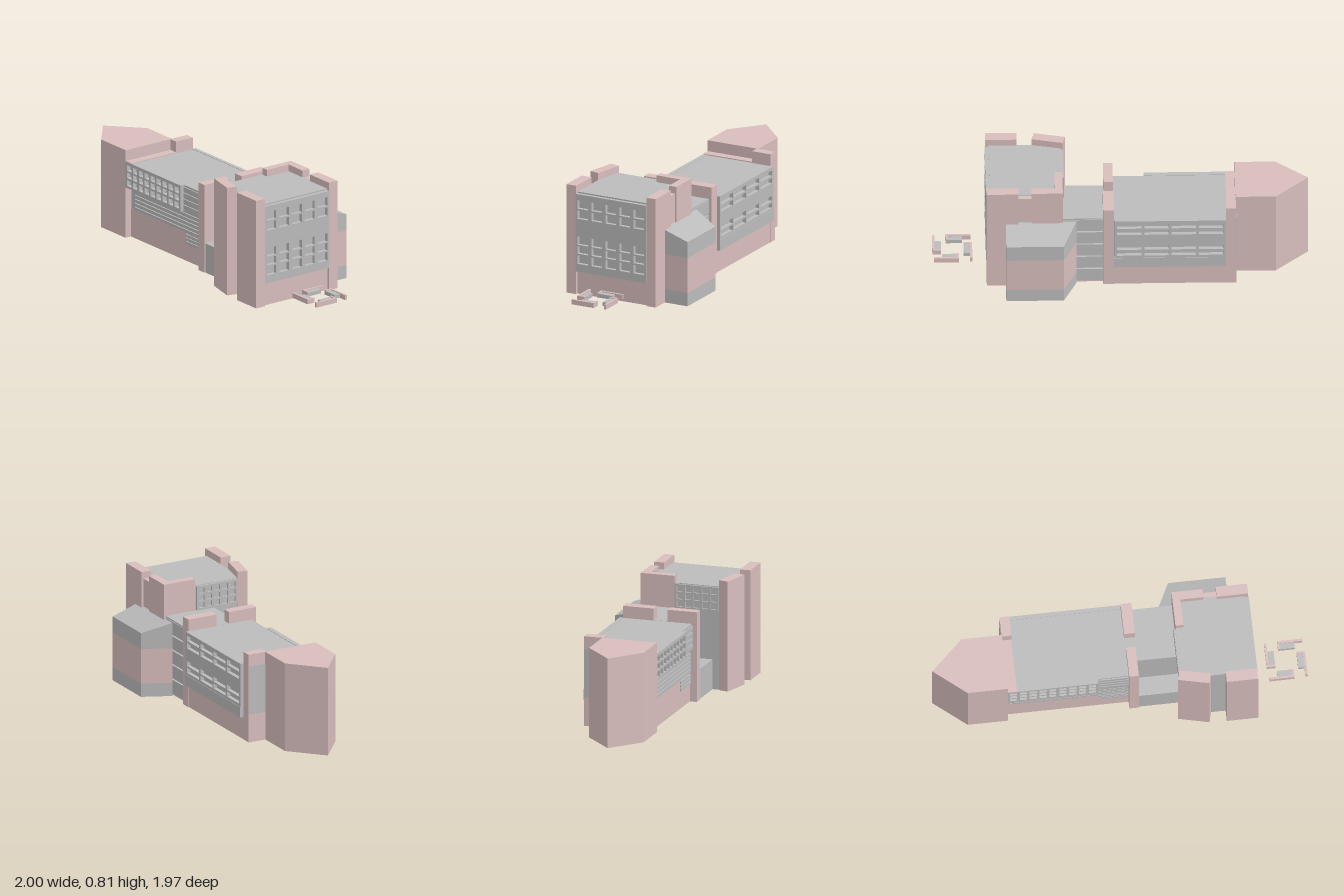
import * as THREE from 'three';

const pink = new THREE.MeshStandardMaterial({ color: 0xd8bebd });
pink.name = 'rose stone';
const grey = new THREE.MeshStandardMaterial({ color: 0xbbbbbb });
grey.name = 'grey panel';

// All parts are laid out along the building axis, which is turned 45 degrees at the end
export function createModel() {
  const model = new THREE.Group();
  model.name = 'building';
  const site = new THREE.Group();
  site.name = 'site';
  site.rotation.y = -Math.PI / 4;
  model.add(site);

  const add = (name, geo, mat, parent = site) => {
    const mesh = new THREE.Mesh(geo, mat);
    mesh.name = name;
    parent.add(mesh);
    return mesh;
  };

  // Box given by its limits
  const box = (name, mat, x0, x1, y0, y1, z0, z1, parent = site) => {
    const geo = new THREE.BoxGeometry(x1 - x0, y1 - y0, z1 - z0);
    geo.translate((x0 + x1) / 2, (y0 + y1) / 2, (z0 + z1) / 2);
    return add(name, geo, mat, parent);
  };

  // Upright prism over a plan outline of [x, z] points
  const prism = (name, mat, plan, y0, y1) => {
    const shape = new THREE.Shape(plan.map(([x, z]) => new THREE.Vector2(x, -z)));
    const geo = new THREE.ExtrudeGeometry(shape, { depth: y1 - y0, bevelEnabled: false });
    geo.rotateX(-Math.PI / 2).translate(0, y0, 0);
    return add(name, geo, mat);
  };

  // Panel with a grid of window openings, set on a wall
  const facade = (name, w, y0, y1, depth, cols, rows, margin, gap, x, z, turn) => {
    const rect = (P, a, b, c, d) => {
      const p = new P();
      p.moveTo(a, c);
      p.lineTo(b, c);
      p.lineTo(b, d);
      p.lineTo(a, d);
      p.closePath();
      return p;
    };
    const shape = rect(THREE.Shape, -w / 2, w / 2, y0, y1);
    const pitch = (w - 2 * margin + gap) / cols;
    for (const [a, b] of rows) {
      for (let i = 0; i < cols; i++) {
        const left = -w / 2 + margin + i * pitch;
        shape.holes.push(rect(THREE.Path, left, left + pitch - gap, a, b));
      }
    }
    const geo = new THREE.ExtrudeGeometry(shape, { depth, bevelEnabled: false });
    const mesh = add(name, geo, grey);
    mesh.position.set(x, 0, z);
    mesh.rotation.y = turn;
  };

  // Horizontal slats on the left-hand wall
  const slats = (name, x0, x1, y0, y1, z, count) => {
    const pitch = (y1 - y0) / count;
    for (let i = 0; i < count; i++) {
      const y = y0 + i * pitch;
      box(name, grey, x0, x1, y, y + pitch * 0.75, z, z + 0.012);
    }
  };

  // Pointed end block of the long wing
  prism('wingEndBlock', pink,
    [[-1.407, 0.007], [-1.174, -0.212], [-0.885, -0.212], [-0.885, 0.198], [-1.174, 0.198]], 0, 0.66);
  box('wingEndPier', pink, -0.887, -0.817, 0, 0.66, -0.348, -0.2);

  // Long wing
  box('wingBase', pink, -0.89, 0, 0, 0.21, -0.346, 0.15);
  box('wingMiddle', grey, -0.89, 0, 0.21, 0.38, -0.346, 0.148);
  box('wingTop', grey, -0.89, 0, 0.38, 0.572, -0.346, 0.163);
  box('wingRoofEdge', pink, -0.888, -0.82, 0.57, 0.579, -0.2, 0.197);
  box('wingSill', grey, -0.817, -0.02, 0.17, 0.25, -0.378, -0.34);
  facade('wingWindowsRight', 0.795, 0.25, 0.575, 0.029, 4,
    [[0.27, 0.308], [0.322, 0.36], [0.455, 0.495], [0.51, 0.55]], 0.02, 0.02, -0.4185, -0.346, Math.PI);
  facade('wingWindowsLeft', 0.647, 0.38, 0.575, 0.035, 9,
    [[0.396, 0.44], [0.455, 0.497], [0.51, 0.552]], 0.015, 0.018, -0.5635, 0.163, 0);
  slats('wingSlats', -0.84, -0.02, 0.215, 0.365, 0.146, 5);
  slats('wingUpperSlats', -0.235, -0.02, 0.39, 0.57, 0.16, 4);
  slats('wingLowSlats', -0.235, -0.02, 0.13, 0.21, 0.146, 3);

  // Piers between wing and link
  box('linkPierRight', pink, -0.02, 0.057, 0, 0.66, -0.352, -0.123);
  box('linkPierLeft', pink, -0.018, 0.05, 0, 0.66, -0.02, 0.202);

  // Link with stacked panels and a low side block
  box('link', pink, -0.01, 0.36, 0, 0.565, -0.315, 0.05);
  box('linkRoof', grey, -0.01, 0.36, 0.563, 0.573, -0.332, 0.057);
  box('linkLeftWall', grey, -0.01, 0.36, 0, 0.565, 0.04, 0.057);
  for (let i = 0; i < 5; i++) {
    const y = 0.025 + i * 0.109;
    box('linkPanel', grey, 0.05, 0.34, y, y + 0.098, -0.332, -0.31);
  }
  box('lowBlock', grey, 0.03, 0.345, 0, 0.22, 0.05, 0.195);

  // Tower body
  prism('towerBody', grey,
    [[0.346, 0.25], [0.56, 0.293], [0.862, 0.293], [0.862, -0.3], [0.346, -0.3]], 0, 0.76);
  box('towerFrontBase', pink, 0.855, 0.868, 0, 0.17, -0.28, 0.295);
  box('towerRightWall', pink, 0.55, 0.67, 0, 0.758, -0.335, -0.29);
  facade('towerFrontWindows', 0.57, 0.17, 0.75, 0.027, 5,
    [[0.23, 0.294], [0.306, 0.362], [0.372, 0.435], [0.567, 0.63], [0.642, 0.706]],
    0.015, 0.03, 0.862, 0.01, Math.PI / 2);
  facade('towerBackWindows', 0.33, 0.575, 0.755, 0.015, 5,
    [[0.59, 0.63], [0.645, 0.685], [0.7, 0.74]], 0.015, 0.018, 0.346, 0.08, -Math.PI / 2);

  // Tower piers
  prism('towerCornerPier', pink,
    [[0.344, -0.346], [0.566, -0.346], [0.566, -0.284], [0.4, -0.284], [0.4, -0.092], [0.344, -0.092]], 0, 0.81);
  box('towerPierRight', pink, 0.66, 0.885, 0, 0.81, -0.352, -0.277);
  box('towerPierLeft', pink, 0.66, 0.885, 0, 0.81, 0.292, 0.372);
  prism('towerPierBackLeft', pink,
    [[0.318, 0.318], [0.336, 0.248], [0.555, 0.295], [0.537, 0.368]], 0, 0.81);

  // Side annex in three bands with a sloping roof
  const annex = [[0.247, -0.332], [0.34, -0.537], [0.75, -0.537], [0.75, -0.33]];
  prism('annexBase', grey, annex, 0, 0.1);
  prism('annexBand', pink, annex, 0.1, 0.36);
  const annexTop = prism('annexTop', grey, annex, 0.36, 0.5).geometry;
  const pos = annexTop.attributes.position;
  for (let i = 0; i < pos.count; i++) {
    if (pos.getY(i) > 0.45) pos.setY(i, pos.getZ(i) > -0.4 ? 0.55 : 0.48);
  }
  annexTop.computeVertexNormals();

  // Four benches in a pinwheel
  for (let i = 0; i < 4; i++) {
    const bench = new THREE.Group();
    bench.name = 'bench';
    bench.position.set(1.125, 0, -0.012);
    bench.rotation.y = i * Math.PI / 2;
    box('benchBack', pink, -0.142, -0.125, 0.06, 0.096, -0.133, 0.047, bench);
    box('benchArm', pink, -0.126, -0.08, 0.06, 0.096, 0.032, 0.047, bench);
    box('benchSeat', grey, -0.126, -0.08, 0.062, 0.09, -0.073, 0.033, bench);
    site.add(bench);
  }
  return model;
}
